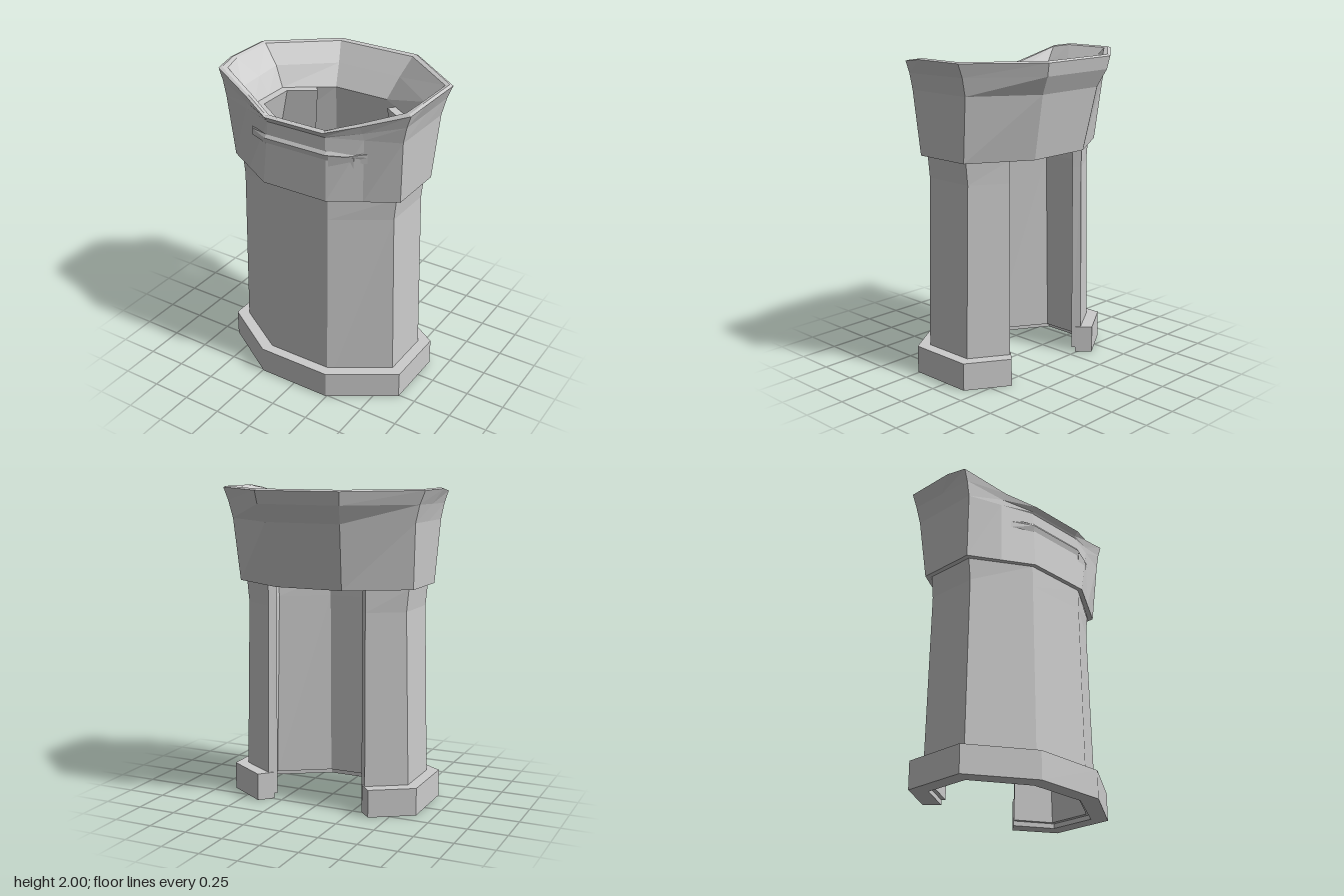
import * as THREE from 'three';

const material = new THREE.MeshStandardMaterial({ color: 0xcccccc, flatShading: true, side: THREE.DoubleSide });

// Mirrors a half outline (front to back on +x) into a full one, back to front to back
const mirror = (half) => [...half.map(([x, y, z]) => [-x, y, z]).reverse(), ...half];

// Skins a closed loop of rails; each rail runs around the tower.
// A closed sweep joins its ends, an open one gets end caps.
function sweep(name, rails, closed) {
  const pos = [];
  const tri = (a, b, c) => pos.push(...a, ...b, ...c);
  const n = rails[0].length;
  rails.forEach((rail, i) => {
    const next = rails[(i + 1) % rails.length];
    for (let j = 0; j < (closed ? n : n - 1); j++) {
      const k = (j + 1) % n;
      tri(rail[j], rail[k], next[k]);
      tri(rail[j], next[k], next[j]);
    }
  });
  if (!closed) {
    // Caps are laddered between the outer and inner halves of the loop
    for (let a = 0, b = rails.length - 1; a + 1 < b; a++, b--) {
      for (const [p, q, r] of [[a, a + 1, b], [a + 1, b - 1, b]]) {
        tri(rails[p][0], rails[q][0], rails[r][0]);
        tri(rails[p][n - 1], rails[r][n - 1], rails[q][n - 1]);
      }
    }
  }
  const geometry = new THREE.BufferGeometry();
  geometry.setAttribute('position', new THREE.Float32BufferAttribute(pos, 3));
  geometry.computeVertexNormals();
  const mesh = new THREE.Mesh(geometry, material);
  mesh.name = name;
  return mesh;
}

// Level rail from [x, z] corners
const level = (y, corners) => mirror(corners.map(([x, z]) => [x, y, z]));

// Octagonal head rail: front, side front, side back and back corners,
// with extra points on the diagonal and the side
const mid = (a, b) => a.map((v, i) => (v + b[i]) / 2);
const headRail = (f, s1, s2, b, diagonal = mid(f, s1), side = mid(s1, s2)) =>
  mirror([f, diagonal, s1, side, s2, b]);

export function createModel() {
  const model = new THREE.Group();

  // Plinth, open at the back
  const plinthOuter = [[0.245, 0.51], [0.64, 0.26], [0.64, -0.16], [0.384, -0.32]];
  const plinthInner = [[0.2, 0.41], [0.54, 0.205], [0.54, -0.1], [0.309, -0.24]];
  model.add(sweep('plinth', [
    level(0, plinthOuter), level(0.175, plinthOuter),
    level(0.175, plinthInner), level(0, plinthInner),
  ], false));

  // Thin shaft wall, open at the back and bending inward inside the head
  model.add(sweep('shaft', [
    level(0.03, [[0.215, 0.445], [0.572, 0.222], [0.572, -0.117], [0.338, -0.262]]),
    level(1.26, [[0.215, 0.432], [0.543, 0.22], [0.543, -0.115], [0.33, -0.25]]),
    level(1.4, [[0.215, 0.432], [0.557, 0.22], [0.557, -0.115], [0.33, -0.252]]),
    level(1.755, [[0.18, 0.385], [0.465, 0.2], [0.465, -0.1], [0.29, -0.225]]),
    level(1.755, [[0.17, 0.335], [0.412, 0.17], [0.412, -0.075], [0.252, -0.18]]),
    level(1.4, [[0.195, 0.382], [0.495, 0.19], [0.495, -0.09], [0.292, -0.21]]),
    level(1.26, [[0.195, 0.382], [0.485, 0.19], [0.485, -0.09], [0.292, -0.21]]),
    level(0.03, [[0.195, 0.392], [0.512, 0.192], [0.512, -0.088], [0.298, -0.217]]),
  ], false));

  // Flared head: up the outside, over the rim, down the funnel and back to the underside
  model.add(sweep('head', [
    headRail([0.22, 1.4, 0.46], [0.593, 1.4, 0.24], [0.593, 1.4, -0.135], [0.22, 1.4, -0.355]),
    headRail([0.2, 1.79, 0.428], [0.617, 1.8, 0.275], [0.617, 1.8, -0.18], [0.245, 1.8, -0.438]),
    headRail([0.2, 1.8, 0.435], [0.637, 1.9, 0.277], [0.645, 1.91, -0.188], [0.267, 1.91, -0.495],
      [0.4, 1.835, 0.355]),
    headRail([0.2, 1.828, 0.458], [0.662, 1.975, 0.28], [0.679, 1.993, -0.19], [0.275, 1.99, -0.512],
      [0.39, 1.88, 0.37], [0.679, 1.993, 0.14]),
    headRail([0.2, 1.835, 0.44], [0.645, 1.98, 0.268], [0.66, 2, -0.182], [0.268, 2, -0.495],
      [0.385, 1.888, 0.356], [0.66, 2, 0.135]),
    headRail([0.195, 1.83, 0.418], [0.615, 1.975, 0.25], [0.637, 1.993, -0.17], [0.26, 1.993, -0.465],
      [0.375, 1.885, 0.335], [0.637, 1.993, 0.13]),
    headRail([0.19, 1.8, 0.41], [0.53, 1.86, 0.23], [0.53, 1.88, -0.13], [0.22, 1.88, -0.38]),
    headRail([0.18, 1.755, 0.385], [0.465, 1.755, 0.2], [0.465, 1.755, -0.1], [0.185, 1.755, -0.29]),
    headRail([0.215, 1.4, 0.432], [0.56, 1.4, 0.222], [0.56, 1.4, -0.12], [0.205, 1.4, -0.33]),
  ], true));

  // Faint ridge across the front of the head, fading out at both ends
  const ridgePath = [[-0.35, 0.378, 0], [-0.21, 0.437, 1], [0.21, 0.437, 1], [0.32, 0.391, 1], [0.43, 0.344, 0]];
  const ridgeRail = (y, out) => ridgePath.map(([x, z, swell]) => [x, y, z + out * swell]);
  model.add(sweep('frontRidge', [
    ridgeRail(1.65, 0), ridgeRail(1.69, 0.012), ridgeRail(1.71, -0.003), ridgeRail(1.69, -0.02),
  ], false));

  // Small bracket under one end of the ridge
  const bracketRail = (y, out) => [[0.225, y, 0.431 + out], [0.36, y, 0.374 + out]];
  model.add(sweep('ridgeBracket', [
    bracketRail(1.6, 0.004), bracketRail(1.685, 0.01), bracketRail(1.685, -0.02), bracketRail(1.6, -0.02),
  ], false));

  return model;
}
